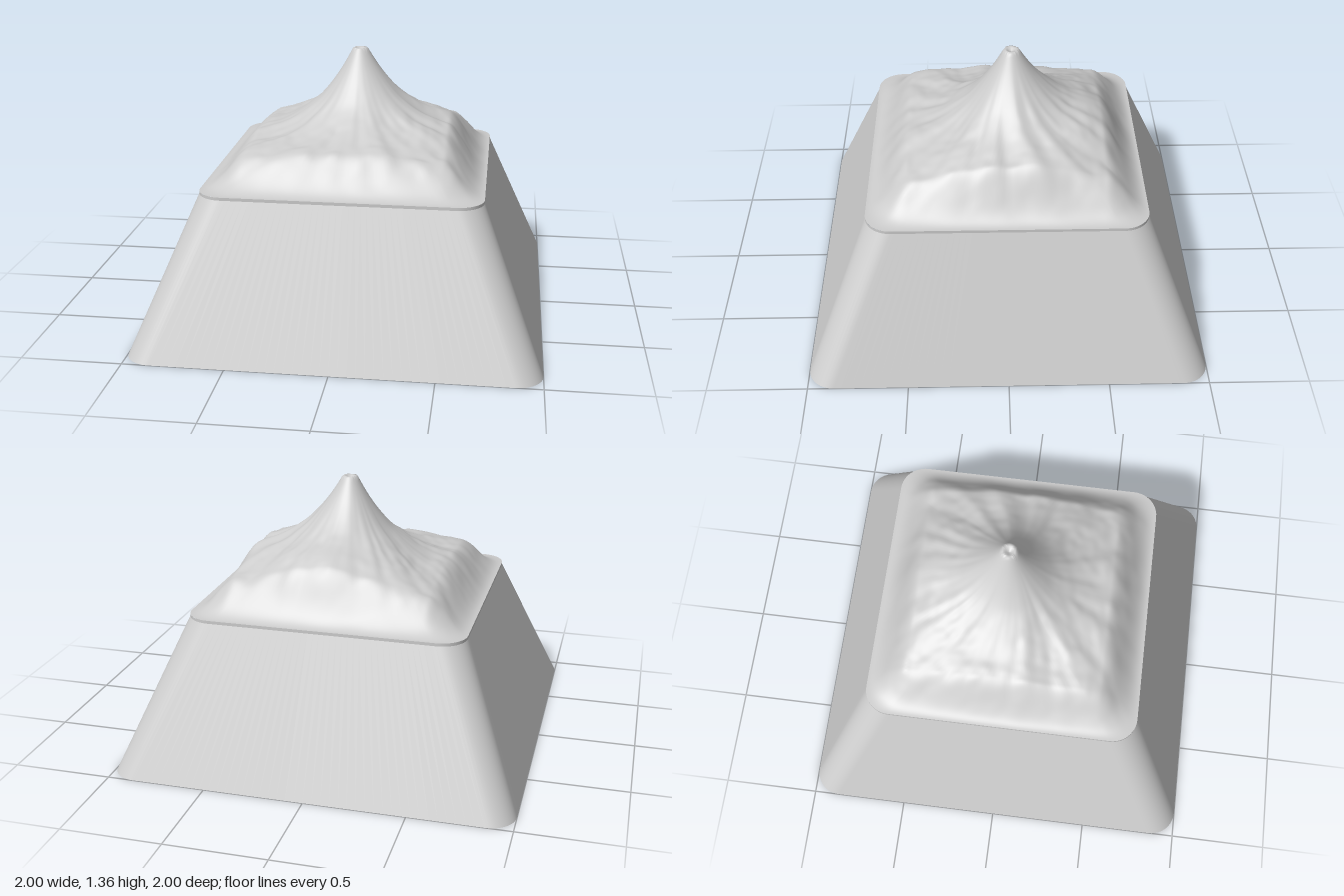
import * as THREE from 'three';
import { toCreasedNormals } from 'three/addons/utils/BufferGeometryUtils.js';

const PEAK = { x: 0.02, z: -0.03 };
const TOP = 0.755;
const HALF = 0.695;

// Points of a rounded square, running from +x towards +z
function ring(half, radius, y, side = 40, arc = 12) {
  const pts = [];
  const c = half - radius;
  const signs = [[1, 1], [-1, 1], [-1, -1], [1, -1]];
  signs.forEach(([sx, sz], k) => {
    for (let i = 0; i <= arc; i++) {
      const a = (k + i / arc) * Math.PI / 2;
      pts.push(new THREE.Vector3(sx * c + radius * Math.cos(a), y, sz * c + radius * Math.sin(a)));
    }
    const last = pts[pts.length - 1];
    const a = (k + 1) * Math.PI / 2;
    const [nx, nz] = signs[(k + 1) % 4];
    const next = new THREE.Vector3(nx * c + radius * Math.cos(a), y, nz * c + radius * Math.sin(a));
    for (let i = 1; i < side; i++) pts.push(last.clone().lerp(next, i / side));
  });
  return pts;
}

// Closed skin through a list of rings with equal point counts
function loft(rings) {
  const n = rings[0].length;
  const position = [];
  const index = [];
  rings.forEach(r => r.forEach(p => position.push(p.x, p.y, p.z)));
  for (let j = 0; j < rings.length - 1; j++) {
    for (let i = 0; i < n; i++) {
      const a = j * n + i, b = j * n + (i + 1) % n;
      index.push(a, a + n, b, b, a + n, b + n);
    }
  }
  const geo = new THREE.BufferGeometry();
  geo.setAttribute('position', new THREE.Float32BufferAttribute(position, 3));
  geo.setIndex(index);
  geo.computeVertexNormals();
  return geo;
}

// Smooth value noise on a lattice
function hash(i, j) {
  const s = Math.sin(i * 127.1 + j * 311.7) * 43758.5453;
  return s - Math.floor(s);
}
function noise(x, y) {
  const i = Math.floor(x), j = Math.floor(y);
  const u = THREE.MathUtils.smoothstep(x - i, 0, 1), v = THREE.MathUtils.smoothstep(y - j, 0, 1);
  const low = THREE.MathUtils.lerp(hash(i, j), hash(i + 1, j), u);
  const high = THREE.MathUtils.lerp(hash(i, j + 1), hash(i + 1, j + 1), u);
  return THREE.MathUtils.lerp(low, high, v) * 2 - 1;
}

// Slope heights at every 0.1 from the peak, towards +x, +z, -x and -z
const SLOPES = [
  [1.42, 1.26, 1.14, 1.06, 1.01, 0.975, 0.93, 0.90, 0.87, 0.84, 0.82],
  [1.42, 1.24, 1.11, 1.03, 0.98, 0.95, 0.925, 0.90, 0.87, 0.84, 0.82],
  [1.42, 1.24, 1.11, 1.03, 0.97, 0.94, 0.915, 0.89, 0.86, 0.83, 0.81],
  [1.42, 1.26, 1.15, 1.08, 1.04, 0.985, 0.93, 0.90, 0.87, 0.84, 0.82],
];
function slopeHeight(s, d) {
  const k = Math.min(Math.floor(d * 10), s.length - 2), t = d * 10 - k;
  // smooth curve through the samples
  const m0 = k > 0 ? (s[k + 1] - s[k - 1]) / 2 : s[1] - s[0];
  const m1 = k < s.length - 2 ? (s[k + 2] - s[k]) / 2 : s[k + 1] - s[k];
  const t2 = t * t, t3 = t2 * t;
  return s[k] * (2 * t3 - 3 * t2 + 1) + m0 * (t3 - 2 * t2 + t) + s[k + 1] * (3 * t2 - 2 * t3) + m1 * (t3 - t2);
}

function mountainHeight(x, z) {
  const dx = x - PEAK.x, dz = z - PEAK.z;
  const d = Math.hypot(dx, dz);
  const c = d > 0 ? dx / d : 1, s = d > 0 ? dz / d : 0;
  let h = slopeHeight(SLOPES[c > 0 ? 0 : 2], d) * c * c + slopeHeight(SLOPES[s > 0 ? 1 : 3], d) * s * s;
  // summit cut off flat, with a shallow crater
  h = Math.min(h, 1.355 - 0.015 * (1 - THREE.MathUtils.smoothstep(d, 0, 0.03)));
  // gullies run down the slopes, with finer rock between them
  const rough = THREE.MathUtils.smoothstep(d, 0.05, 0.5);
  h += rough * (0.014 * noise(c * 4 + 20, s * 4 + d * 2) + 0.008 * noise(c * 9 + 40, s * 9 + d * 5)
    + 0.004 * noise(x * 22, z * 22));
  // rounded shoulder down to the lip
  const shoulder = v => THREE.MathUtils.smoothstep(HALF - Math.abs(v), 0, 0.21);
  return TOP + (h - TOP) * shoulder(x) * shoulder(z);
}

function mountainGeometry() {
  const edge = ring(HALF, 0.13, TOP);
  const rings = [];
  const steps = 80;
  for (let j = 0; j <= steps; j++) {
    const t = 1 - j / steps;
    rings.push(edge.map(p => {
      const x = PEAK.x + (p.x - PEAK.x) * t, z = PEAK.z + (p.z - PEAK.z) * t;
      return new THREE.Vector3(x, mountainHeight(x, z), z);
    }));
  }
  return loft(rings);
}

// Round post with a cross-shaped socket
function stemGeometry(length) {
  const shape = new THREE.Shape();
  shape.absarc(0, 0, 0.3, 0, Math.PI * 2);
  const L = 0.225, W = 0.075;
  const cross = [[L, -W], [L, W], [W, W], [W, L], [-W, L], [-W, W],
    [-L, W], [-L, -W], [-W, -W], [-W, -L], [W, -L], [W, -W]];
  shape.holes.push(new THREE.Path(cross.map(([x, y]) => new THREE.Vector2(x, y))));
  const geo = new THREE.ExtrudeGeometry(shape, { depth: length, bevelEnabled: false, curveSegments: 32 });
  geo.rotateX(-Math.PI / 2);
  return toCreasedNormals(geo, 0.5);
}

export function createModel() {
  const model = new THREE.Group();
  model.name = 'mountainKeycap';
  const grey = new THREE.MeshStandardMaterial({ color: 0xcccccc });
  grey.name = 'lightGrey';
  const add = (name, geo) => {
    const mesh = new THREE.Mesh(geo, grey);
    mesh.name = name;
    model.add(mesh);
  };

  // Hollow tapered cap, one skin per face so its edges stay crisp
  const ceilingY = 0.58;
  const ceiling = ring(0.63, 0.06, ceilingY);
  const innerBottom = ring(0.86, 0.08, 0);
  const outerBottom = ring(1, 0.13, 0);
  const outerTop = ring(HALF, 0.13, 0.74);
  const lip = ring(HALF, 0.13, TOP);
  add('ceiling', loft([ceiling.map(() => new THREE.Vector3(0, ceilingY, 0)), ceiling]));
  add('innerWall', loft([ceiling, innerBottom]));
  add('bottomRim', loft([innerBottom, outerBottom]));
  add('outerWall', loft([outerBottom, outerTop]));
  add('lip', loft([outerTop, lip]));

  add('mountain', mountainGeometry());
  add('stem', stemGeometry(ceilingY));
  return model;
}
